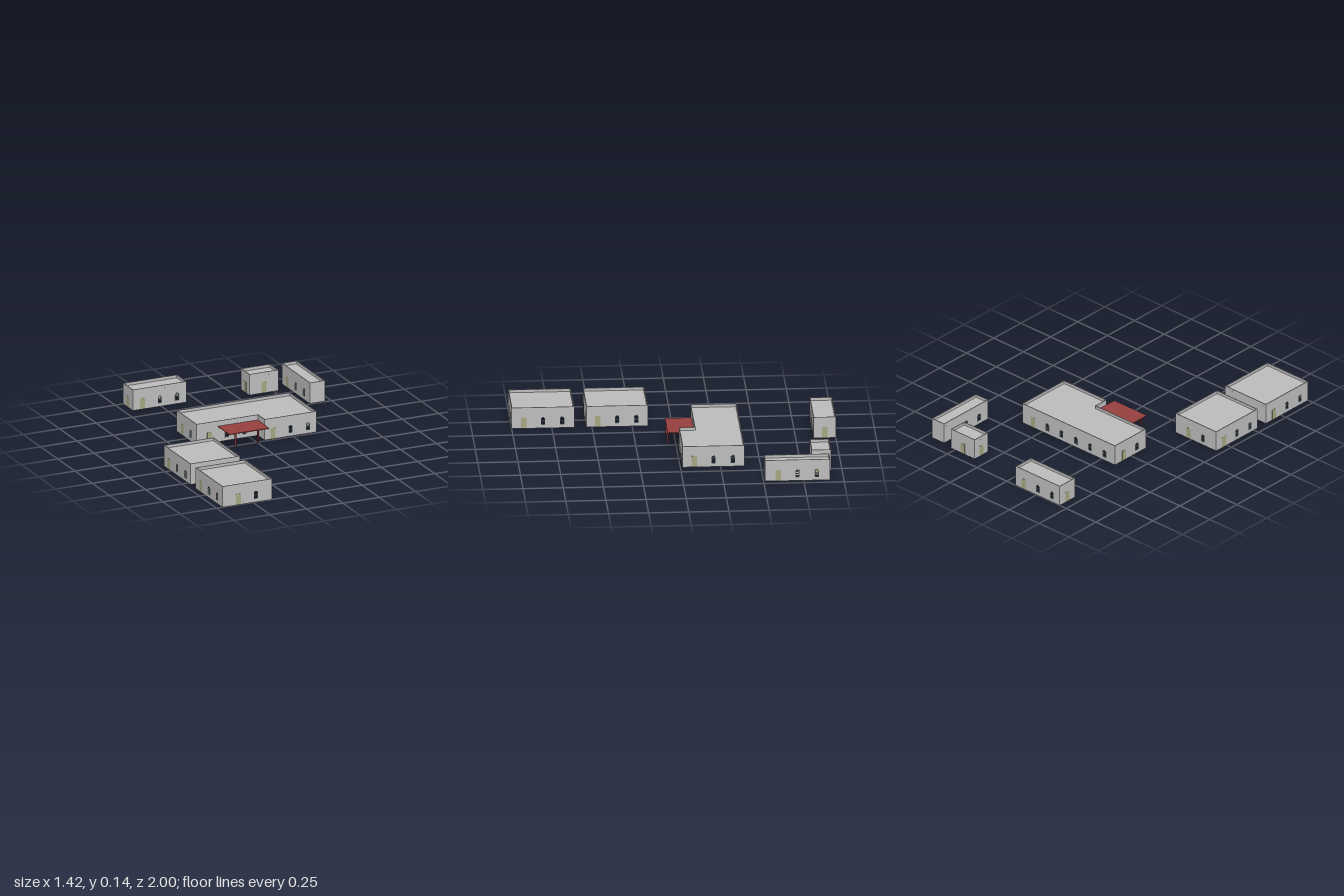
import * as THREE from 'three';

const H = 0.137, ROOF_Y = 0.118, T = 0.005, BAY = 0.117;

const mat = (name, color, side = THREE.FrontSide) => {
  const m = new THREE.MeshStandardMaterial({ color, side });
  m.name = name;
  return m;
};

// Arched outline: flat sill, straight sides, half-round top
function arch(PathType, cx, w, y0, y1) {
  const r = w / 2, p = new PathType();
  p.moveTo(cx - r, y0);
  p.lineTo(cx + r, y0);
  p.lineTo(cx + r, y1 - r);
  p.absarc(cx, y1 - r, r, 0, Math.PI, false);
  p.lineTo(cx - r, y0);
  return p;
}

function rect(PathType, x0, x1, y0, y1) {
  const p = new PathType();
  p.moveTo(x0, y0);
  p.lineTo(x1, y0);
  p.lineTo(x1, y1);
  p.lineTo(x0, y1);
  p.lineTo(x0, y0);
  return p;
}

export function createModel() {
  const root = new THREE.Group();
  const grey = mat('wallGrey', 0xbdbdbd);
  const roofGrey = mat('roofGrey', 0xbcbcbc, THREE.DoubleSide);
  const olive = mat('doorOlive', 0xa4a67f);
  const slate = mat('frameSlate', 0x6c7c7c);
  const red = mat('porchRed', 0x963f3f);

  const add = (parent, name, geo, material, x = 0, y = 0, z = 0) => {
    const m = new THREE.Mesh(geo, material);
    m.name = name;
    m.position.set(x, y, z);
    parent.add(m);
    return m;
  };
  const extrude = (shape, depth) =>
    new THREE.ExtrudeGeometry(shape, { depth, bevelEnabled: false, curveSegments: 8 });

  // Window frame with an arched upper light and a square lower light
  const frameShape = arch(THREE.Shape, 0, 0.027, 0.022, 0.073);
  frameShape.holes.push(rect(THREE.Path, -0.0095, 0.0095, 0.026, 0.045));
  frameShape.holes.push(arch(THREE.Path, 0, 0.019, 0.049, 0.069));
  const frameGeo = extrude(frameShape, 0.008);
  const doorGeo = new THREE.BoxGeometry(0.034, 0.072, 0.007);

  // One wall between two ground points, left to right as seen from outside
  function wall([x0, z0], [x1, z1]) {
    const g = new THREE.Group();
    g.name = 'wall';
    const len = Math.hypot(x1 - x0, z1 - z0);
    g.position.set(x0, 0, z0);
    g.rotation.y = Math.atan2(-(z1 - z0), x1 - x0);
    const shape = rect(THREE.Shape, 0, len, 0, H);
    const n = Math.floor(len / BAY);
    for (let i = 0; i < n; i++) {
      const cx = len / 2 + (i - (n - 1) / 2) * 0.12;
      if (i === 0) {
        add(g, 'door', doorGeo, olive, cx, 0.036, -T / 2);
      } else {
        shape.holes.push(arch(THREE.Path, cx, 0.025, 0.023, 0.072));
        add(g, 'windowFrame', frameGeo, slate, cx, 0, -0.0065);
      }
    }
    add(g, 'wallPanel', extrude(shape, T), grey, 0, 0, -T);
    return g;
  }

  // Open-bottomed building: walls rise past a sunken flat roof
  function building(name, pts) {
    const g = new THREE.Group();
    g.name = name;
    pts.forEach((p, i) => g.add(wall(p, pts[(i + 1) % pts.length])));
    const outline = new THREE.Shape(pts.map(([x, z]) => new THREE.Vector2(x * 0.9999, -z * 0.9999)));
    const roof = new THREE.ShapeGeometry(outline);
    roof.rotateX(-Math.PI / 2);
    add(g, 'flatRoof', roof, roofGrey, 0, ROOF_Y, 0);
    root.add(g);
  }
  const box = (x0, x1, z0, z1) => [[x0, z1], [x1, z1], [x1, z0], [x0, z0]];

  building('frontBlock', box(-0.71, -0.368, 0.61, 1));
  building('middleBlock', box(-0.71, -0.368, 0.152, 0.535));
  building('rearLongBlock', box(-0.445, -0.075, -1, -0.86));
  building('rearSmallBlock', box(0.332, 0.532, -0.932, -0.81));
  building('sideNarrowBlock', box(0.605, 0.708, -0.915, -0.508));
  building('mainHall', [
    [-0.362, -0.112], [0.06, -0.112], [0.06, -0.014],
    [0.417, -0.014], [0.417, -0.4], [-0.362, -0.4],
  ]);

  // Porch canopy in the notch of the main hall
  const porch = new THREE.Group();
  porch.name = 'porch';
  root.add(porch);
  const px0 = -0.215, px1 = 0.059, pz0 = -0.111, pz1 = 0.056;
  const w = px1 - px0, d = pz1 - pz0, cz = (pz0 + pz1) / 2;
  add(porch, 'canopy', new THREE.BoxGeometry(w, 0.004, d), red, (px0 + px1) / 2, 0.101, cz);
  const ribGeo = new THREE.BoxGeometry(0.005, 0.004, d);
  for (let i = 0; i < 14; i++)
    add(porch, 'canopyRib', ribGeo, red, px0 + (i + 0.5) * w / 14, 0.0975, cz);
  for (const x of [-0.171, -0.015])
    add(porch, 'porchPost', new THREE.BoxGeometry(0.009, 0.085, 0.009), red, x, 0.0575, 0.0505);

  return root;
}
